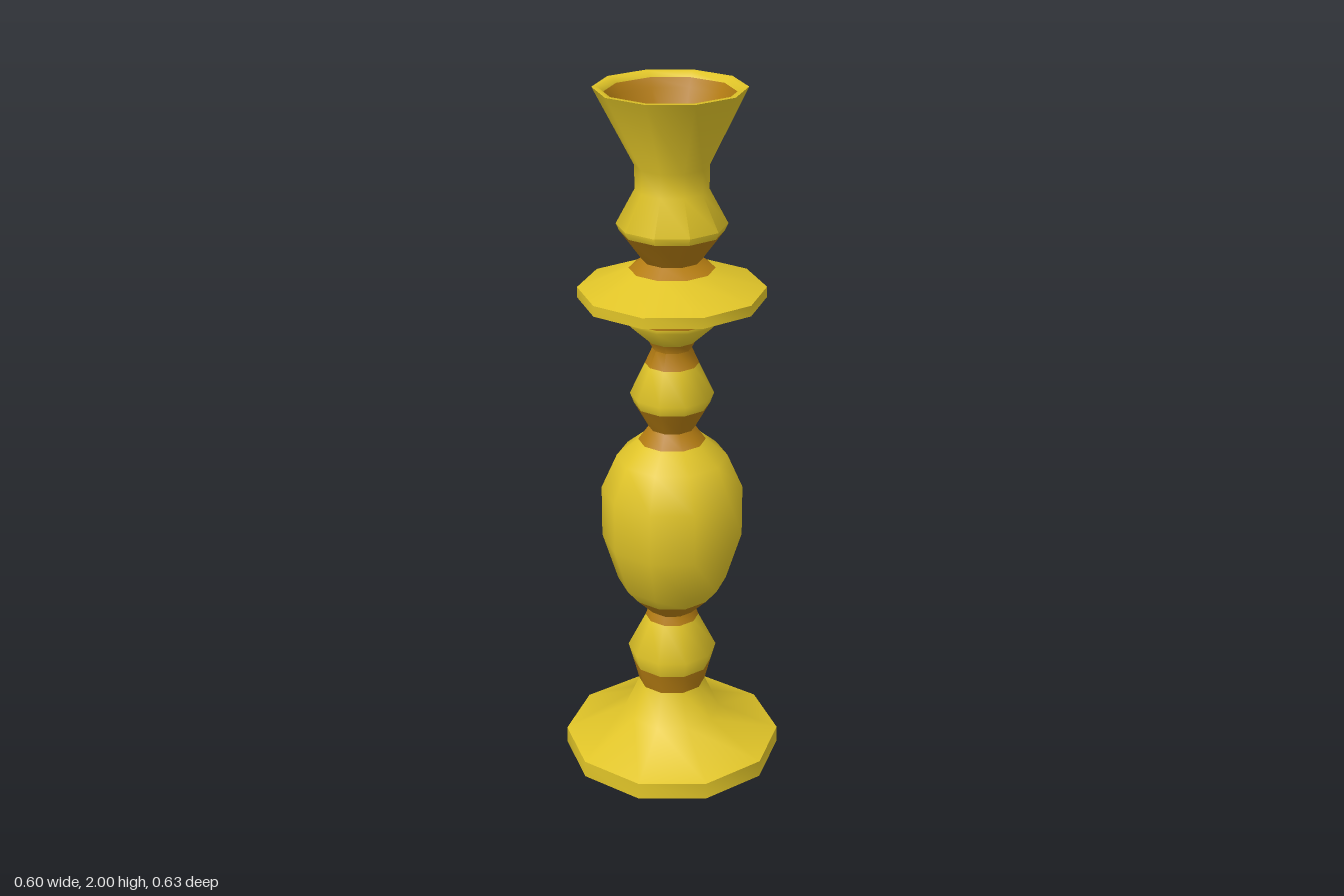
import * as THREE from 'three';
import { toCreasedNormals } from 'three/addons/utils/BufferGeometryUtils.js';

const SIDES = 10;

export function createModel() {
  const model = new THREE.Group();
  model.name = 'candlestick';

  const flat = (name, color) => {
    const m = new THREE.MeshStandardMaterial({ color });
    m.name = name;
    return m;
  };
  const gold = flat('gold', 0xe0c428);
  const amber = flat('amber', 0xb47c12);
  const brown = flat('dark brown', 0x52280f);

  // Turned part: profile points are [radius, height], running bottom to top outside
  const turn = (name, material, profile) => {
    const points = profile.map(([r, y]) => new THREE.Vector2(r, y));
    const geometry = toCreasedNormals(new THREE.LatheGeometry(points, SIDES), 1.05);
    // The cup mouth sits very slightly forward
    const p = geometry.attributes.position;
    for (let i = 0; i < p.count; i++) {
      if (p.getY(i) > 1.79) p.setZ(i, p.getZ(i) + (p.getY(i) - 1.79) * 0.028);
    }
    const mesh = new THREE.Mesh(geometry, material);
    mesh.name = name;
    model.add(mesh);
  };

  // Foot and lower stem
  turn('foot', gold, [[0, 0], [0.315, 0], [0.315, 0.05], [0.14, 0.13], [0.097, 0.225]]);
  turn('footRing', amber, [[0.097, 0.225], [0.114, 0.29]]);
  turn('lowerKnob', gold, [[0.114, 0.29], [0.128, 0.34], [0.077, 0.44]]);
  turn('lowerNeck', amber, [[0.077, 0.44], [0.068, 0.465], [0.118, 0.515]]);

  // Bulging middle
  turn('belly', gold, [
    [0.118, 0.515], [0.156, 0.56], [0.2, 0.7], [0.2, 0.85], [0.156, 0.95], [0.095, 1.0],
  ]);
  turn('middleNeck', amber, [[0.095, 1.0], [0.066, 1.04], [0.106, 1.11]]);
  turn('upperKnob', gold, [[0.106, 1.11], [0.117, 1.14], [0.075, 1.23]]);
  turn('upperNeck', amber, [[0.075, 1.23], [0.055, 1.275], [0.068, 1.3]]);

  // Drip tray on its collar
  turn('trayCollar', gold, [[0.068, 1.3], [0.134, 1.36], [0.134, 1.37]]);
  turn('collarRing', amber, [[0.134, 1.37], [0.134, 1.395], [0.15, 1.402]]);
  turn('dripTray', gold, [[0.15, 1.402], [0.258, 1.42], [0.258, 1.45], [0.118, 1.505]]);
  turn('trayNeck', amber, [[0.118, 1.505], [0.082, 1.53], [0.142, 1.61]]);

  // Candle cup with its hollow
  turn('cup', gold, [
    [0.142, 1.61], [0.151, 1.63], [0.1, 1.725], [0.1, 1.79],
    [0.205, 2], [0.19, 2], [0.178, 1.985],
  ]);
  turn('cupInside', amber, [[0.178, 1.985], [0.165, 1.96], [0.095, 1.81]]);
  turn('cupFloor', brown, [[0.095, 1.81], [0.09, 1.74], [0, 1.74]]);

  return model;
}
